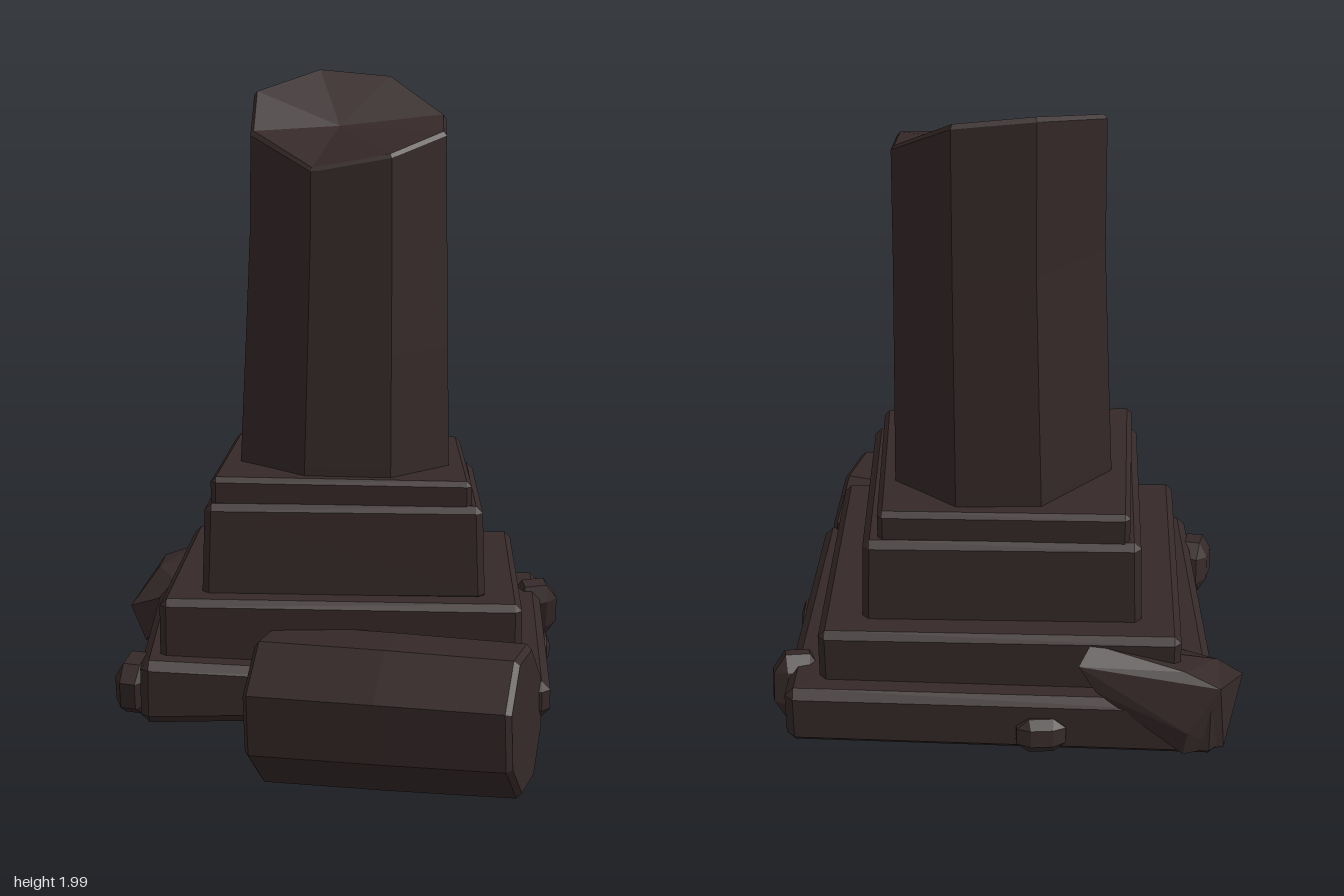
import * as THREE from 'three';
import { ConvexGeometry } from 'three/addons/geometries/ConvexGeometry.js';

const V = (x, y, z) => new THREE.Vector3(x, y, z);

export function createModel() {
  const group = new THREE.Group();
  const stone = new THREE.MeshStandardMaterial({ color: 0x352828 });
  stone.name = 'dark stone';

  const add = (name, geometry) => {
    const mesh = new THREE.Mesh(geometry, stone);
    mesh.name = name;
    group.add(mesh);
    return mesh;
  };

  // Worn block with chamfered edges. Corners run back-left, back-right,
  // front-right, front-left in plan, with a bottom and top height for each.
  function block(name, plan, bottoms, tops, bevel, taper = 0) {
    const cx = plan.reduce((s, p) => s + p[0], 0) / 4;
    const cz = plan.reduce((s, p) => s + p[1], 0) / 4;
    const pts = [];
    plan.forEach(([x, z], i) => {
      const sx = Math.sign(cx - x), sz = Math.sign(cz - z);
      [[bottoms[i], 1, 0], [tops[i], -1, taper]].forEach(([y, sy, t]) => {
        const px = x + sx * t, pz = z + sz * t;
        pts.push(V(px + sx * bevel, y, pz + sz * bevel));
        pts.push(V(px, y + sy * bevel, pz + sz * bevel));
        pts.push(V(px + sx * bevel, y + sy * bevel, pz));
      });
    });
    add(name, new ConvexGeometry(pts));
  }

  // Stepped pedestal, each slab a little crooked
  block('baseSlab', [[-0.6, -0.655], [0.635, -0.64], [0.62, 0.35], [-0.55, 0.36]],
    [0.165, 0.18, 0.195, 0.165], [0.35, 0.36, 0.30, 0.35], 0.025);
  block('lowerStep', [[-0.49, -0.585], [0.54, -0.57], [0.54, 0.275], [-0.5, 0.29]],
    [0.3, 0.3, 0.28, 0.32], [0.52, 0.515, 0.505, 0.515], 0.02);
  block('pedestalBlock', [[-0.38, -0.495], [0.42, -0.49], [0.435, 0.19], [-0.385, 0.205]],
    [0.49, 0.49, 0.49, 0.49], [0.77, 0.765, 0.77, 0.775], 0.02, 0.008);
  block('upperStep', [[-0.34, -0.47], [0.37, -0.46], [0.395, 0.165], [-0.36, 0.175]],
    [0.74, 0.74, 0.74, 0.74], [0.855, 0.85, 0.84, 0.85], 0.015);

  // Geometry from stacked rings of points, with a centre point closing each end
  function loft(rings, startCentre, endCentre) {
    const pos = [], n = rings[0].length;
    const tri = (...p) => p.forEach((v) => pos.push(v.x, v.y, v.z));
    for (let i = 0; i < n; i++) {
      const j = (i + 1) % n;
      for (let r = 0; r < rings.length - 1; r++) {
        const a = rings[r], b = rings[r + 1];
        tri(a[i], a[j], b[j]);
        tri(a[i], b[j], b[i]);
      }
      tri(startCentre, rings[0][j], rings[0][i]);
      tri(endCentre, rings.at(-1)[i], rings.at(-1)[j]);
    }
    const geo = new THREE.BufferGeometry();
    geo.setAttribute('position', new THREE.Float32BufferAttribute(pos, 3));
    geo.computeVertexNormals();
    return geo;
  }

  // Broken octagonal column: plan x, z and the height of the slanted break
  const outline = [
    [-0.09, 0.125, 1.735], [0.16, 0.125, 1.775], [0.33, -0.05, 1.83], [0.33, -0.275, 1.87],
    [0.15, -0.42, 1.98], [-0.09, -0.415, 2.0], [-0.29, -0.21, 1.94], [-0.29, -0.05, 1.83],
  ];
  const ring = (scale, height, dx = 0) => outline.map(([x, z, top]) =>
    V(0.02 + dx + (x - 0.02) * scale, height ?? top, -0.15 + (z + 0.15) * scale));
  const shaft = [ring(1, 0.82), ring(1, 0.87), ring(0.965, 1.2, 0.005), ring(0.93, 1.55, 0.01)];
  const rim = ring(0.92, undefined, 0.01);
  const lip = rim.map((p) => V(p.x, p.y - 0.012, p.z));
  const inner = ring(0.89, undefined, 0.01);
  add('brokenColumn', loft([...shaft, lip, inner], V(0.02, 0.82, -0.15), V(0, 1.84, -0.17)));

  // Fallen octagonal drum lying against the front
  const start = V(-0.19, 0.22, 0.305), end = V(0.545, 0.245, 0.505);
  const axis = end.clone().sub(start).normalize();
  const side = V(axis.z, 0, -axis.x).normalize();
  const up = side.clone().cross(axis).normalize();
  if (up.y < 0) up.negate();
  const drumRing = (t, apothem) => Array.from({ length: 8 }, (_, i) => {
    const a = (i + 0.5) * Math.PI / 4, r = apothem / Math.cos(Math.PI / 8);
    return start.clone().lerp(end, t)
      .addScaledVector(side, -Math.cos(a) * r)
      .addScaledVector(up, Math.sin(a) * r);
  });
  const drumRings = [[0, 0.192], [0.02, 0.208], [0.5, 0.204], [0.98, 0.196], [1, 0.182]]
    .map(([t, r]) => drumRing(t, r));
  // Wind the rings so the faces point outward
  const [p0, p1] = drumRings[0];
  const turn = p0.clone().sub(start).cross(p1.clone().sub(start)).dot(axis);
  if (turn < 0) drumRings.forEach((r) => r.reverse());
  add('fallenDrum', loft(drumRings, start, end));

  // Broken slab leaning on the back corner
  add('leaningSlab', new ConvexGeometry([
    V(-0.685, 0.29, -0.42), V(-0.64, 0.17, -0.43), V(-0.60, 0.40, -0.645), V(-0.62, 0.18, -0.62),
    V(-0.51, 0.27, -0.682), V(-0.5, 0.44, -0.62), V(-0.2, 0.46, -0.63), V(-0.235, 0.5, -0.575),
    V(-0.25, 0.38, -0.64), V(-0.5, 0.35, -0.385), V(-0.5, 0.19, -0.67), V(-0.6, 0.4, -0.5),
  ]));

  // Rubble chips: centre, half sizes, turn about x and y
  const chips = [
    ['rightChip', [0.615, 0.28, -0.485], [0.07, 0.095, 0.05], 0.3, 0.2],
    ['backChip', [-0.095, 0.24, -0.645], [0.07, 0.05, 0.045], 0.2, 0.1],
    ['leftChip', [-0.575, 0.25, 0.23], [0.05, 0.08, 0.085], 0.2, -0.2],
    ['sideChip', [0.625, 0.265, -0.12], [0.018, 0.035, 0.06], 0, 0],
  ];
  chips.forEach(([name, centre, size, rx, ry]) => {
    const pts = [];
    for (const x of [-1, 1]) for (const y of [-1, 1]) for (const z of [-1, 1]) {
      pts.push(V(x, y * 0.45, z * 0.5), V(x * 0.5, y, z * 0.45), V(x * 0.45, y * 0.5, z));
    }
    const chip = add(name, new ConvexGeometry(pts.map((p) => p.multiply(V(...size)))));
    chip.position.set(...centre);
    chip.rotation.set(rx, ry, 0);
  });

  return group;
}
